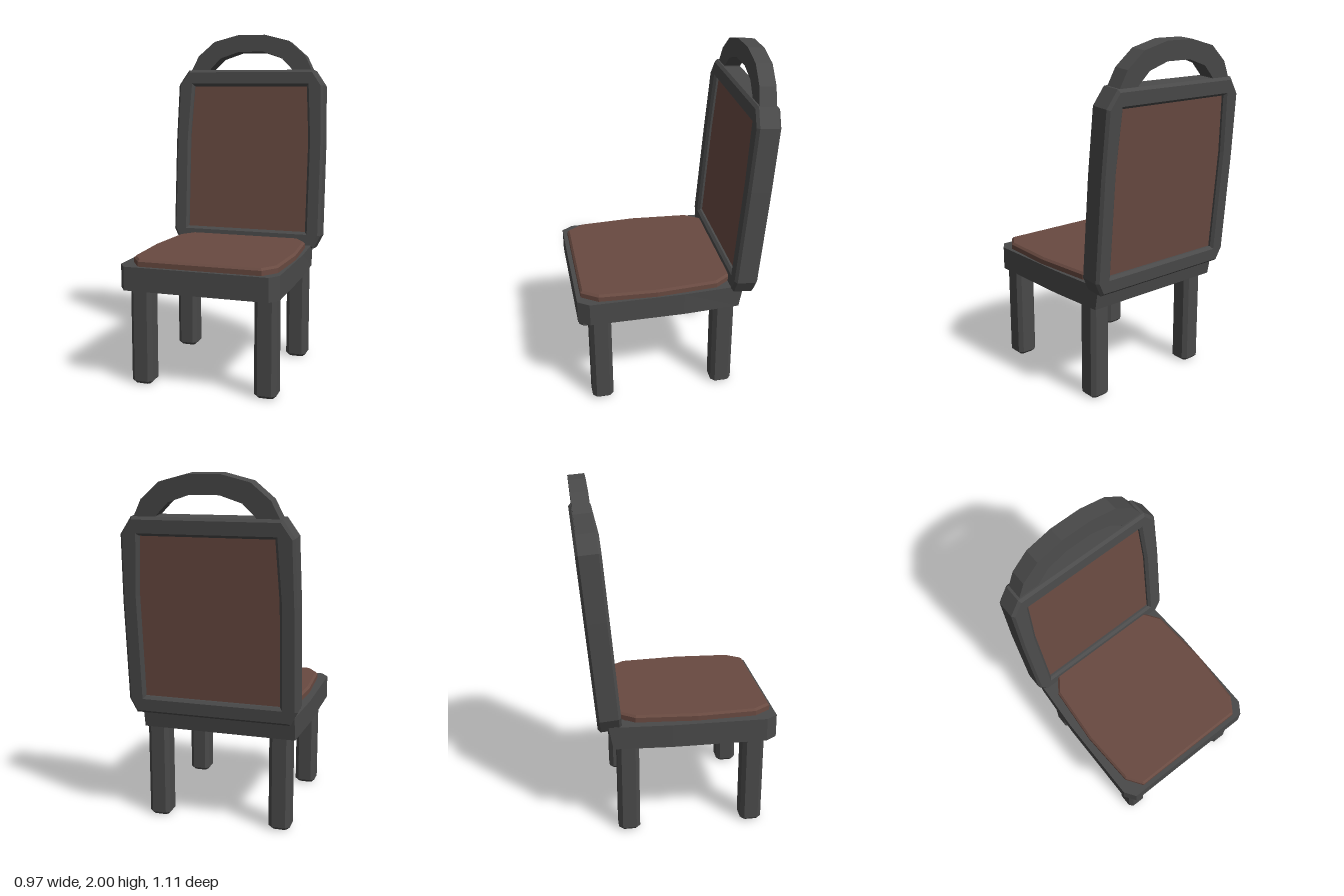
import * as THREE from 'three';

const frameMat = new THREE.MeshStandardMaterial({ color: 0x4a4a4a });
frameMat.name = 'charcoal frame';
const padMat = new THREE.MeshStandardMaterial({ color: 0x694a41 });
padMat.name = 'brown upholstery';

// Turn [x, y] pairs into vectors
const pts = (list) => list.map(([x, y]) => new THREE.Vector2(x, y));
// Mirror a right-hand half outline (bottom to top) into a closed one
const mirrored = (half) => [...half, ...half.slice().reverse().map(([x, y]) => [-x, y])];

// Extruded slab of given total depth with inward chamfers, starting at z = 0
function slab(outline, depth, bevel = 0, hole = null) {
  const shape = new THREE.Shape(pts(outline));
  if (hole) shape.holes.push(new THREE.Path(pts(hole)));
  const geo = new THREE.ExtrudeGeometry(shape, {
    depth: depth - 2 * bevel, bevelEnabled: bevel > 0, bevelSize: bevel,
    bevelThickness: bevel, bevelOffset: -bevel, bevelSegments: 1,
  });
  return geo.translate(0, 0, bevel);
}
// Same slab laid flat: outline is given as [x, -z], thickness runs up y
const flatSlab = (...args) => slab(...args).rotateX(-Math.PI / 2);

function add(parent, name, geo, mat, x = 0, y = 0, z = 0) {
  const mesh = new THREE.Mesh(geo, mat);
  mesh.name = name;
  mesh.position.set(x, y, z);
  parent.add(mesh);
  return mesh;
}

export function createModel() {
  const chair = new THREE.Group();
  chair.name = 'chair';

  // Legs: square posts with chamfered edges and feet
  const a = 0.0625, b = 0.04;
  const legOutline = [[a, -b], [a, b], [b, a], [-b, a], [-a, b], [-a, -b], [-b, -a], [b, -a]];
  const legGeo = flatSlab(legOutline, 0.64, 0.018);
  for (const side of [-1, 1]) {
    add(chair, 'frontLeg', legGeo, frameMat, side * 0.3625, 0, 0.43);
    add(chair, 'backLeg', legGeo, frameMat, side * 0.3625, 0, -0.295);
  }

  // Seat frame: open ring with clipped front corners and undercut back edge
  const seatOutline = mirrored([[0.415, -0.555], [0.46, -0.49], [0.46, 0.05], [0.442, 0.4]]);
  const seatHole = [[-0.37, -0.46], [0.37, -0.46], [0.36, 0.31], [-0.36, 0.31]];
  const seatGeo = flatSlab(seatOutline, 0.135, 0, seatHole);
  const p = seatGeo.attributes.position;
  for (let i = 0; i < p.count; i++) {
    if (p.getZ(i) < -0.35) p.setZ(i, p.getZ(i) + (p.getY(i) < 0.05 ? 0.02 : -0.005));
  }
  seatGeo.computeVertexNormals();
  add(chair, 'seatFrame', seatGeo, frameMat, -0.015, 0.56, 0);

  // Seat cushion and the underside panel filling the ring
  const cushion = mirrored([[0.355, -0.53], [0.42, -0.435], [0.437, -0.1], [0.412, 0.25], [0.345, 0.345]]);
  add(chair, 'seatCushion', flatSlab(cushion, 0.055, 0.012), padMat, 0, 0.68, 0);
  add(chair, 'seatUnderside', new THREE.BoxGeometry(0.76, 0.05, 0.79), padMat, -0.015, 0.66, 0.075);

  // Backrest, leaning backwards
  const back = new THREE.Group();
  back.name = 'backrest';
  back.position.set(0, 0.67, -0.395);
  back.rotation.x = -0.085;
  chair.add(back);

  const backOutline = mirrored([[0.445, 0], [0.485, 0.08], [0.485, 0.65], [0.475, 1.015], [0.41, 1.11]]);
  const backHole = mirrored([[0.388, 0.1], [0.39, 0.68], [0.37, 1.008]]);
  add(back, 'backFrame', slab(backOutline, 0.135, 0.015, backHole), frameMat, 0, 0, -0.0675);
  const panel = mirrored([[0.41, 0.07], [0.41, 0.68], [0.39, 1.03]]);
  add(back, 'backPanel', slab(panel, 0.08), padMat, 0, 0, -0.04);

  // Arched carrying handle on top
  const outer = [[0.4, 1.08], [0.395, 1.11], [0.35, 1.2], [0.245, 1.29], [0.09, 1.33]];
  const inner = [[0.27, 1.08], [0.27, 1.115], [0.2, 1.185], [0.08, 1.225]];
  const flip = (list) => list.slice().reverse().map(([x, y]) => [-x, y]);
  const arch = [...outer, ...flip(outer), ...flip(inner).reverse(), ...inner.slice().reverse()];
  add(back, 'handle', slab(arch, 0.094), frameMat, 0, 0, -0.05);

  return chair;
}
